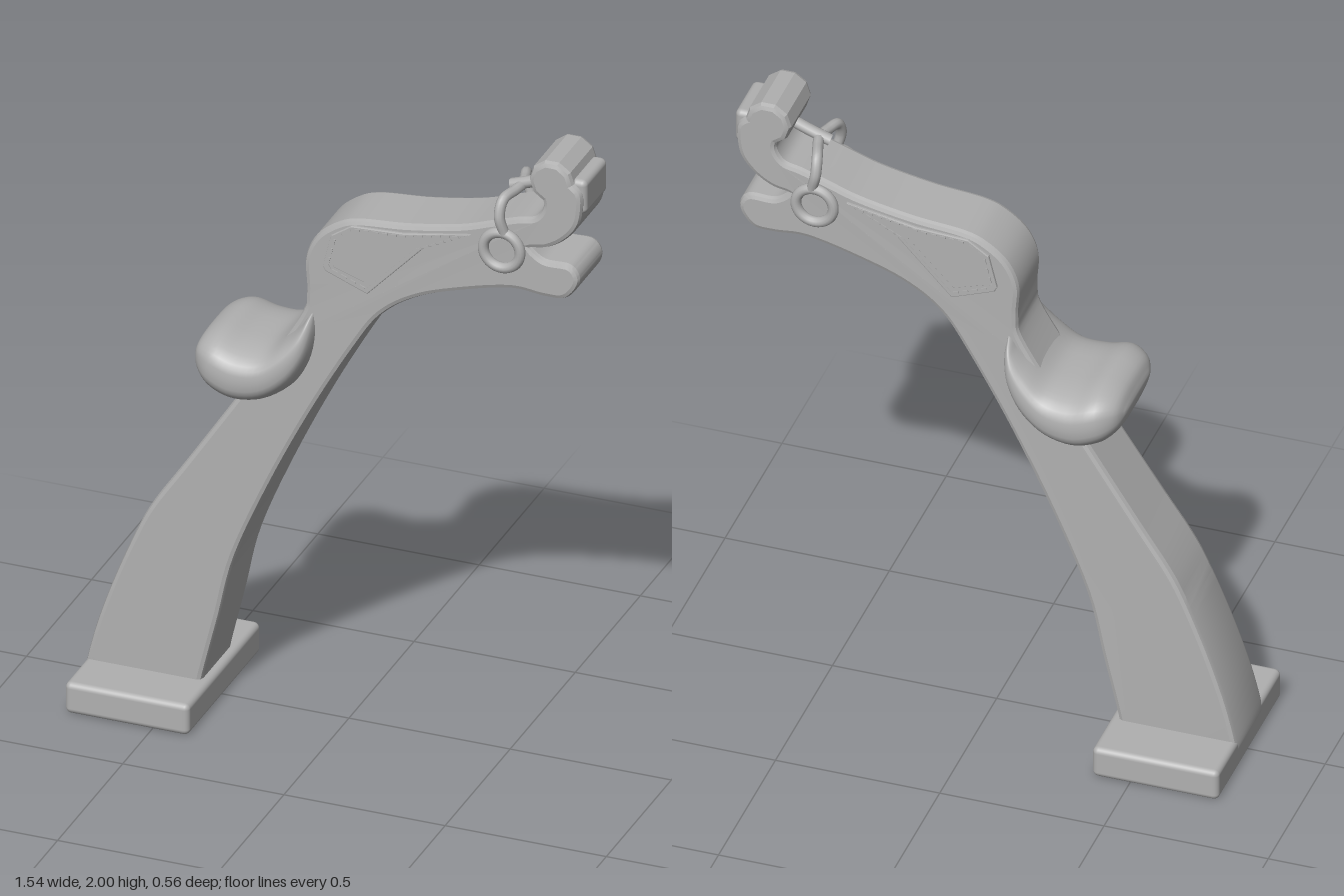
import * as THREE from 'three';
import { toCreasedNormals } from 'three/addons/utils/BufferGeometryUtils.js';
import { RoundedBoxGeometry } from 'three/addons/geometries/RoundedBoxGeometry.js';

const grey = new THREE.MeshStandardMaterial({ color: 0xb0b0b0 });
grey.name = 'plain grey';

const vectors = (list) => list.map(([x, y]) => new THREE.Vector2(x, y));

// Extrusion centred on z = 0 with rounded edges that stay inside the outline
function slab(shape, halfDepth, bevel) {
  const geo = new THREE.ExtrudeGeometry(shape, {
    depth: 2 * (halfDepth - bevel), curveSegments: 5,
    bevelSize: bevel, bevelThickness: bevel, bevelOffset: -bevel, bevelSegments: 2,
  });
  geo.translate(0, 0, bevel - halfDepth);
  return geo;
}

// Closed outline made of smooth runs that meet at corners
function outline(runs) {
  const shape = new THREE.Shape();
  shape.moveTo(...runs[0][0]);
  for (const [, ...rest] of runs) {
    if (rest.length > 1) shape.splineThru(vectors(rest));
    else shape.lineTo(...rest[0]);
  }
  return shape;
}

// Skin of superelliptic rings; a station is top x, y, bottom x, y, half width
function loft(stations, around = 40, along = 36) {
  const spline = (i) => new THREE.CatmullRomCurve3(
    stations.map((s) => new THREE.Vector3(s[i], s[i + 1], i ? s[4] : 0)));
  const top = spline(0), bottom = spline(2);
  const pos = [], index = [];
  const soft = (v) => Math.sign(v) * Math.abs(v) ** 0.72;
  for (let i = 0; i <= along; i++) {
    const a = top.getPoint(i / along), b = bottom.getPoint(i / along);
    for (let j = 0; j < around; j++) {
      const t = (j / around) * Math.PI * 2;
      const k = (1 + soft(Math.cos(t))) / 2;
      pos.push(b.x + (a.x - b.x) * k, b.y + (a.y - b.y) * k, b.z * soft(Math.sin(t)));
      if (i === along) continue;
      const p = i * around + j, q = i * around + ((j + 1) % around);
      index.push(p, q, p + around, q, q + around, p + around);
    }
  }
  // End caps
  for (const [ring, flip] of [[0, true], [along, false]]) {
    const s = ring ? stations[stations.length - 1] : stations[0];
    const c = pos.length / 3;
    pos.push((s[0] + s[2]) / 2, (s[1] + s[3]) / 2, 0);
    for (let j = 0; j < around; j++) {
      const p = ring * around + j, q = ring * around + ((j + 1) % around);
      index.push(c, ...(flip ? [q, p] : [p, q]));
    }
  }
  const geo = new THREE.BufferGeometry();
  geo.setAttribute('position', new THREE.Float32BufferAttribute(pos, 3));
  geo.setIndex(index);
  geo.computeVertexNormals();
  return geo;
}

export function createModel() {
  const model = new THREE.Group();
  const add = (name, geo, parent = model) => {
    const mesh = new THREE.Mesh(geo, grey);
    mesh.name = name;
    parent.add(mesh);
    return mesh;
  };
  const tube = (points, radius) => new THREE.TubeGeometry(
    new THREE.CatmullRomCurve3(points.map((p) => new THREE.Vector3(...p))), 28, radius, 10);

  // Foot plate
  add('base', new RoundedBoxGeometry(0.385, 0.1, 0.56, 3, 0.018)).position.set(-0.578, 0.05, 0);

  // Leg, back, neck and open jaws in one silhouette, widening towards the foot
  const body = slab(outline([
    [[-0.41, 0.06], [-0.41, 0.10], [-0.36, 0.31], [-0.31, 0.52], [-0.20, 0.785], [-0.07, 1.05],
      [0.06, 1.28], [0.14, 1.395], [0.245, 1.47], [0.38, 1.52], [0.54, 1.56], [0.64, 1.555],
      [0.705, 1.56], [0.743, 1.60], [0.75, 1.64], [0.72, 1.673], [0.645, 1.675], [0.60, 1.705]],
    [[0.60, 1.705], [0.65, 1.715], [0.70, 1.745], [0.74, 1.79], [0.757, 1.84], [0.757, 1.91], [0.72, 1.945]],
    [[0.72, 1.945], [0.63, 1.89]],
    [[0.63, 1.89], [0.64, 1.85], [0.615, 1.81], [0.56, 1.795], [0.48, 1.768], [0.38, 1.735],
      [0.22, 1.705], [0.07, 1.69], [0, 1.665], [-0.065, 1.61], [-0.098, 1.53], [-0.095, 1.42],
      [-0.12, 1.33], [-0.30, 1.05], [-0.47, 0.79], [-0.56, 0.655], [-0.61, 0.56], [-0.68, 0.39],
      [-0.735, 0.23], [-0.768, 0.10], [-0.77, 0.06]],
    [[-0.77, 0.06], [-0.41, 0.06]],
  ]), 0.1, 0.015);
  const p = body.attributes.position;
  for (let i = 0; i < p.count; i++) {
    const widen = THREE.MathUtils.clamp((1.4 - p.getY(i)) / 1.3, 0, 1);
    p.setZ(i, p.getZ(i) * (1 + 0.2 * widen));
  }
  add('body', toCreasedNormals(body, 0.35));

  // Curled snout: a roll and a nose pad
  const roll = new THREE.Shape();
  roll.absarc(0.665, 1.93, 0.07, 0, Math.PI * 2);
  add('snoutRoll', toCreasedNormals(slab(roll, 0.1, 0.016), 0.35));
  add('nosePad', new RoundedBoxGeometry(0.05, 0.11, 0.17, 3, 0.018)).position.set(0.744, 1.893, 0);

  // Seat
  add('seat', loft([
    [-0.432, 1.185, -0.432, 1.165, 0.10],
    [-0.41, 1.228, -0.415, 1.115, 0.155],
    [-0.355, 1.25, -0.375, 1.073, 0.195],
    [-0.28, 1.232, -0.30, 1.047, 0.205],
    [-0.20, 1.237, -0.21, 1.06, 0.198],
    [-0.14, 1.285, -0.13, 1.115, 0.185],
    [-0.10, 1.33, -0.08, 1.20, 0.165],
    [-0.085, 1.355, -0.062, 1.29, 0.135],
    [-0.072, 1.372, -0.067, 1.36, 0.09],
  ]));

  // Side trim: raised rim, inner panel, stitches, ring and strap on each side
  const rimPts = vectors([[-0.038, 1.525], [-0.012, 1.63], [0.05, 1.672], [0.21, 1.68],
    [0.42, 1.718], [0.27, 1.64], [0.10, 1.46], [-0.03, 1.51]]);
  const panelPts = vectors([[-0.01, 1.535], [0.012, 1.612], [0.055, 1.642], [0.20, 1.655],
    [0.25, 1.652], [0.095, 1.492], [-0.005, 1.525]]);
  const stitchPts = rimPts.map((v, i) => v.clone().lerp(
    new THREE.Vector2(0.1, 1.6), i === 4 ? 0.1 : 0.12));
  const rim = new THREE.Shape(rimPts);
  rim.holes.push(new THREE.Path(panelPts));
  const rimGeo = slab(rim, 0.008, 0.003);
  const panelGeo = slab(new THREE.Shape(panelPts), 0.004, 0.001);

  for (const [label, side] of [['left', 1], ['right', -1]]) {
    const trim = new THREE.Group();
    trim.name = label === 'left' ? 'frontTrim' : 'backTrim';
    model.add(trim);
    add('panelRim', rimGeo, trim).position.z = side * 0.101;
    add('panel', panelGeo, trim).position.z = side * 0.1;

    // Stitches along the rim
    stitchPts.forEach((a, i) => {
      const b = stitchPts[(i + 1) % stitchPts.length];
      const count = Math.max(1, Math.round(a.distanceTo(b) / 0.028));
      for (let k = 0; k < count; k++) {
        const at = a.clone().lerp(b, (k + 0.5) / count);
        const stitch = add('stitch', new THREE.BoxGeometry(0.017, 0.006, 0.006), trim);
        stitch.position.set(at.x, at.y, side * 0.109);
        stitch.rotation.z = Math.atan2(b.y - a.y, b.x - a.x);
      }
    });

    add('bitRing', new THREE.TorusGeometry(0.057, 0.016, 12, 36), trim)
      .position.set(0.517, 1.688, side * 0.107);
    add('cheekStrap', tube([[0.525, 1.745, side * 0.108], [0.512, 1.80, side * 0.113],
      [0.515, 1.845, side * 0.09], [0.53, 1.852, side * 0.04], [0.54, 1.855, 0]], 0.016), trim);
  }

  // Strap from the crossing to the snout
  add('noseStrap', tube([[0.505, 1.848, 0], [0.54, 1.86, 0], [0.58, 1.875, 0], [0.64, 1.90, 0]], 0.018));

  return model;
}
